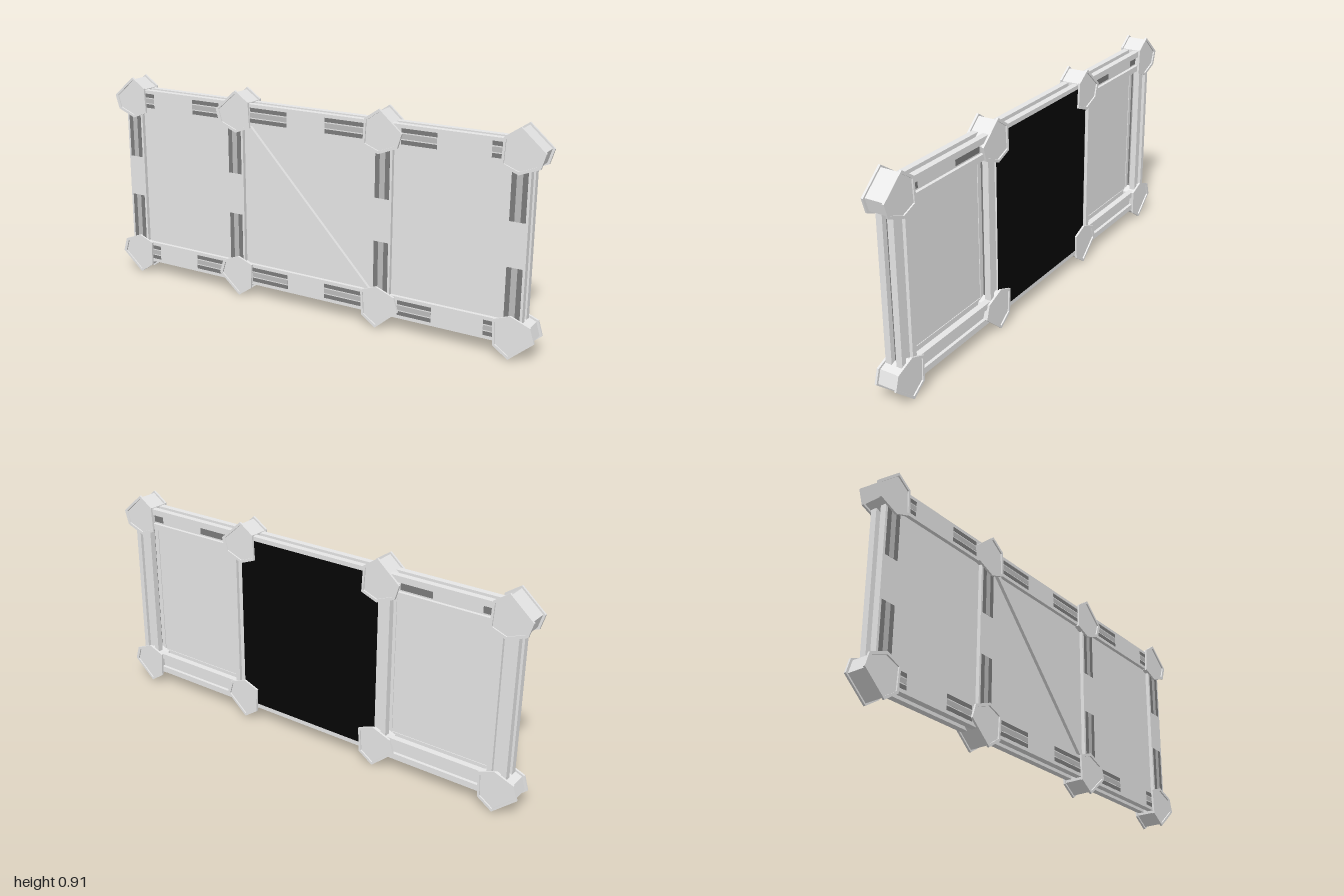
import * as THREE from 'three';

const mat = (name, color) => {
  const m = new THREE.MeshStandardMaterial({ color });
  m.name = name;
  return m;
};

export function createModel() {
  const model = new THREE.Group();
  model.name = 'framedPanel';
  const grey = mat('lightGrey', 0xe6e6e6);
  const mid = mat('midGrey', 0xbcbcbc);
  const dark = mat('darkGrey', 0x7c7c7c);
  const black = mat('black', 0x050505);

  const add = (name, geo, m, x = 0, y = 0, z = 0, parent = model) => {
    const mesh = new THREE.Mesh(geo, m);
    mesh.name = name;
    mesh.position.set(x, y, z);
    parent.add(mesh);
    return mesh;
  };
  // Box given by its limits
  const slab = (name, m, x0, x1, y0, y1, z0, z1) =>
    add(name, new THREE.BoxGeometry(x1 - x0, y1 - y0, z1 - z0), m,
      (x0 + x1) / 2, (y0 + y1) / 2, (z0 + z1) / 2);

  const H = 0.038, groove = 0.011, sideDepth = 0.022, backDepth = 0.014, backHalf = 0.02;
  const topY = 0.8125, botY = 0.106;
  const columns = [-0.9025, -0.361, 0.342, 0.9025];

  // Beam profile: a groove along each side edge and a channel that ends up facing -z
  const beamGeometry = (width, length) => {
    const w = width / 2, d = sideDepth, g = groove;
    const pts = [[-w, -H], [w, -H], [w, -g], [w - d, -g], [w - d, g], [w, g],
      [w, H], [backHalf, H], [backHalf, H - backDepth], [-backHalf, H - backDepth], [-backHalf, H],
      [-w, H], [-w, g], [-w + d, g], [-w + d, -g], [-w, -g]];
    const shape = new THREE.Shape(pts.map(([u, v]) => new THREE.Vector2(u, v)));
    const geo = new THREE.ExtrudeGeometry(shape, { depth: length, bevelEnabled: false });
    return geo.translate(0, 0, -length / 2).rotateX(-Math.PI / 2);
  };
  for (const y of [botY, topY]) {
    add('horizontalBeam', beamGeometry(0.092, 1.8).rotateZ(Math.PI / 2), grey, 0, y);
    for (const s of [1, -1]) {
      const f = y + s * (0.046 - sideDepth);
      slab('grooveFloor', dark, -0.88, 0.88, f - 0.001, f + 0.001, -0.008, 0.008);
    }
  }
  for (const x of columns) {
    add('verticalBeam', beamGeometry(0.084, 0.66), grey, x, (topY + botY) / 2);
    for (const s of [1, -1]) {
      const f = x + s * (0.042 - sideDepth);
      slab('grooveFloor', dark, f - 0.001, f + 0.001, 0.14, 0.78, -groove, groove);
      slab('grooveRidge', mid, f - 0.002, f + 0.002, 0.14, 0.78, -0.003, 0.003);
    }
  }

  // Infill panels, set back a little from the front
  for (let i = 0; i < 3; i++)
    slab('infillPanel', grey, columns[i] + 0.035, columns[i + 1] - 0.035, 0.145, 0.775, 0.014, 0.022);

  // Black sheet on the back of the middle bay
  slab('backSheet', black, -0.35, 0.33, 0.08, 0.84, -0.0395, -0.0375);

  // Flat diagonal brace across the middle bay
  const a = new THREE.Vector3(-0.31, 0.78, 0.028), b = new THREE.Vector3(0.29, 0.145, 0.028);
  const brace = add('diagonalBrace', new THREE.BoxGeometry(0.018, a.distanceTo(b), 0.016), grey);
  brace.position.copy(a).lerp(b, 0.5);
  brace.rotation.z = Math.atan2(b.x - a.x, a.y - b.y);

  // Slot strips on the front faces beside each connector
  const runs = [[-0.84, -0.79], [-0.58, -0.44], [-0.28, -0.1], [0.08, 0.27], [0.42, 0.57], [0.79, 0.85]];
  const z0 = H - 0.001, z1 = H + 0.0008;
  const strips = [[-0.022, 0.02, dark], [0, 0.024, mid], [0.022, 0.02, dark]];
  for (const [offset, w, m] of strips) {
    for (const y of [botY, topY])
      for (const [x0, x1] of runs)
        slab('slotStrip', m, x0, x1, y + offset * 1.05 - w * 0.42, y + offset * 1.05 + w * 0.42, z0, z1);
    for (const x of columns)
      for (const [y0, y1] of [[0.16, 0.37], [0.55, 0.76]])
        slab('slotStrip', m, x + offset - w / 2, x + offset + w / 2, y0, y1, z0, z1);
  }
  // Slot strips on the floor of the top beam's back channel in the outer bays
  const floor = -H + backDepth;
  for (const [x0, x1] of runs.filter(r => Math.abs(r[0] + r[1]) > 0.6))
    slab('backSlotStrip', dark, x0, x1, topY - 0.014, topY + 0.014, floor - 0.0008, floor + 0.001);

  // Connector outline around its centre; mirrored for the right and the bottom
  const outline = [[0, 0.092], [0.064, 0.048], [0.07, -0.06], [0, -0.087], [-0.082, -0.055], [-0.1, 0.005]];
  const points = (sx, sy, k) => {
    const pts = outline.map(([x, y]) => new THREE.Vector2(x * sx * k, y * sy * k));
    return sx * sy > 0 ? pts.reverse() : pts;
  };
  const extrude = (shape, from, to) =>
    new THREE.ExtrudeGeometry(shape, { depth: to - from, bevelEnabled: false }).translate(0, 0, from);

  const nodes = [[-0.9, 1], [-0.348, 1], [0.327, -1], [0.9, -1]];
  for (const [x, sx] of nodes)
    for (const sy of [1, -1]) {
      const connector = new THREE.Group();
      connector.name = 'connector';
      connector.position.set(x, sy > 0 ? 0.818 : 0.092, 0);
      model.add(connector);
      add('connectorCore', extrude(new THREE.Shape(points(sx, sy, 0.9)), -0.041, 0.041), grey, 0, 0, 0, connector);
      const plate = new THREE.Shape(points(sx, sy, 1));
      const rim = new THREE.Shape(points(sx, sy, 1));
      rim.holes.push(new THREE.Path(points(sx, sy, 0.86).reverse()));
      for (const [p0, p1, r0, r1] of [[0.04, 0.043, 0.043, 0.049], [-0.043, -0.04, -0.049, -0.043]]) {
        add('connectorPlate', extrude(plate, p0, p1), grey, 0, 0, 0, connector);
        add('connectorRim', extrude(rim, r0, r1), grey, 0, 0, 0, connector);
      }
    }
  return model;
}
